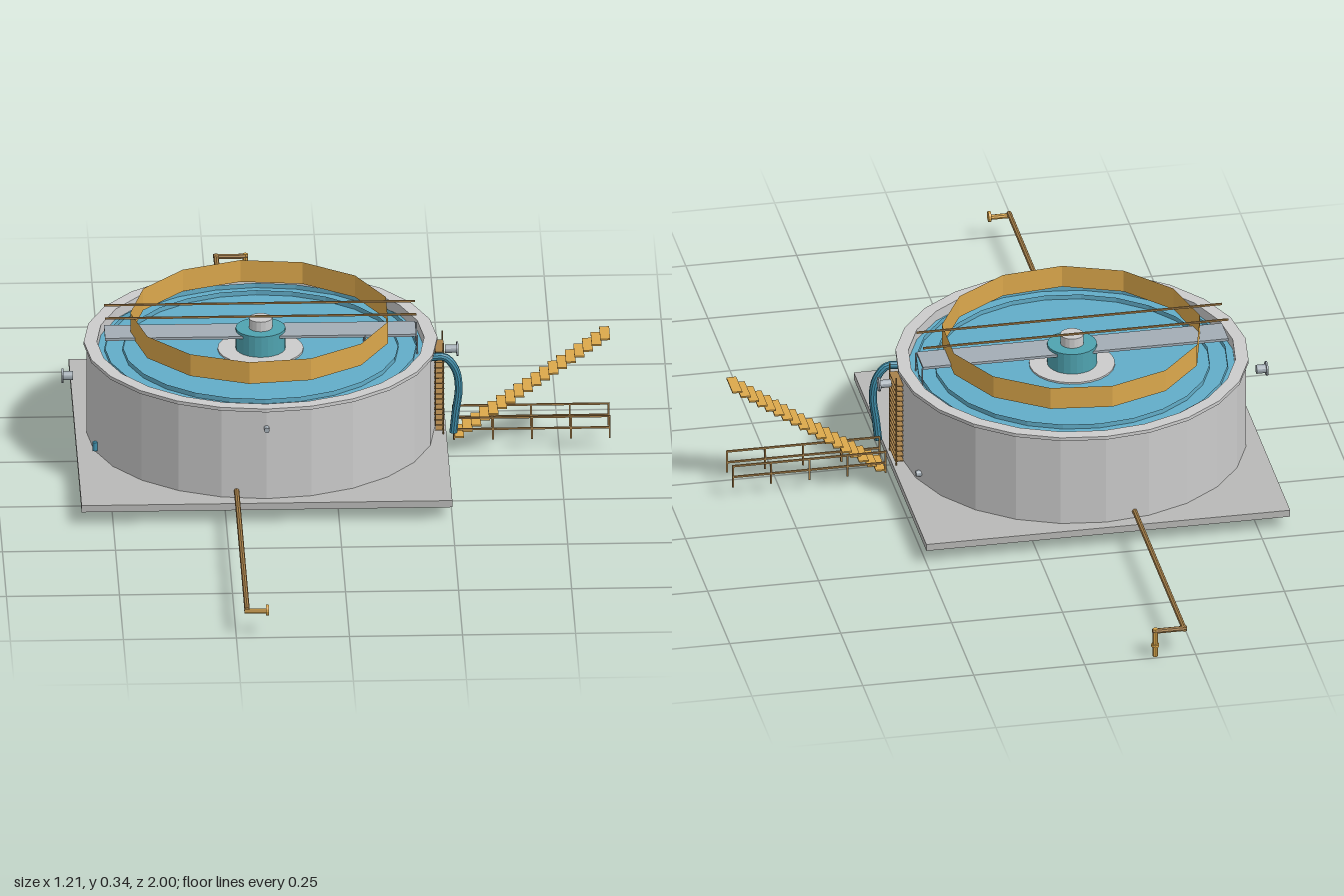
import * as THREE from 'three';

const CX = -0.16, CZ = -0.055; // tank axis

const mat = (color) => new THREE.MeshStandardMaterial({ color, flatShading: true, side: THREE.DoubleSide });
const GREY = mat(0xcccccc), CONCRETE = mat(0xb9b9b7), WATER = mat(0x62adc8), TEAL = mat(0x4fa3b0);
const GOLD = mat(0xdca84c), BROWN = mat(0xa8814a), DECK = mat(0xa3adb5), HOSE = mat(0x3f8fab);

export function createModel() {
  const root = new THREE.Group();

  const add = (name, geometry, material, x = 0, y = 0, z = 0) => {
    const m = new THREE.Mesh(geometry, material);
    m.name = name;
    m.position.set(x, y, z);
    root.add(m);
    return m;
  };
  const box = (name, material, x0, x1, y0, y1, z0, z1) =>
    add(name, new THREE.BoxGeometry(x1 - x0, y1 - y0, z1 - z0), material,
      (x0 + x1) / 2, (y0 + y1) / 2, (z0 + z1) / 2);
  const V = (p) => new THREE.Vector3(...p);
  // Straight round bar between two points
  const rod = (name, material, a, b, r, sides = 8) => {
    const p = V(a), q = V(b), d = q.clone().sub(p);
    const m = add(name, new THREE.CylinderGeometry(r, r, d.length(), sides), material);
    m.position.copy(p).add(q).multiplyScalar(0.5);
    m.quaternion.setFromUnitVectors(new THREE.Vector3(0, 1, 0), d.normalize());
    return m;
  };
  const drum = (name, material, r, y0, y1, sides = 24) =>
    add(name, new THREE.CylinderGeometry(r, r, y1 - y0, sides), material, CX, (y0 + y1) / 2, CZ);

  // Foundation slab
  box('foundationSlab', CONCRETE, -0.57, 0.25, 0.03, 0.046, -0.465, 0.355);

  // Tank wall with a thin overhanging rim
  const wall = [[0.362, 0.046], [0.385, 0.046], [0.385, 0.256], [0.391, 0.256], [0.391, 0.264],
    [0.362, 0.264], [0.362, 0.046]].map(([r, y]) => new THREE.Vector2(r, y));
  add('tankWall', new THREE.LatheGeometry(wall, 24), GREY, CX, 0, CZ);

  // Water surface, overflow weirs and feed well
  drum('water', WATER, 0.363, 0.228, 0.24);
  for (const r of [0.305, 0.345]) {
    add('overflowWeir', new THREE.CylinderGeometry(r, r, 0.012, 24, 1, true), WATER, CX, 0.245, CZ);
  }
  drum('feedWell', GREY, 0.095, 0.238, 0.244);
  drum('driveDrum', TEAL, 0.055, 0.24, 0.293);
  drum('driveMotor', GREY, 0.026, 0.29, 0.316, 16);

  // Raised guard band
  add('guardBand', new THREE.CylinderGeometry(0.288, 0.288, 0.052, 13, 1, true, -Math.PI / 2), GOLD,
    CX, 0.306, CZ);

  // Bridge across the tank with its hand rails and end supports
  box('bridgeDeck', DECK, -0.505, 0.183, 0.281, 0.287, -0.092, -0.018);
  for (const z of [-0.092, -0.018]) {
    box('bridgeRail', BROWN, -0.505, 0.183, 0.333, 0.337, z - 0.002, z + 0.002);
    for (const x of [0.07, 0.185]) rod('bridgeSupport', DECK, [x, 0.24, z], [x, 0.284, z], 0.002, 6);
  }

  // Long drain pipes, front and back, each with an elbow
  const px = -0.226, py = 0.062;
  rod('frontPipe', BROWN, [px, py, 0.31], [px, py, 0.988], 0.006);
  rod('frontPipeElbow', GOLD, [px - 0.006, py - 0.004, 0.985], [-0.18, py - 0.004, 0.985], 0.006);
  rod('frontPipeFlange', GOLD, [-0.184, py - 0.002, 0.985], [-0.178, py - 0.002, 0.985], 0.012, 12);
  rod('backPipe', BROWN, [px, py, -0.42], [px, py, -0.995], 0.006);
  rod('backPipeElbow', BROWN, [px - 0.006, py, -0.99], [-0.155, py, -0.99], 0.006);
  rod('backPipeDrop', GOLD, [-0.161, py + 0.006, -0.99], [-0.161, 0.004, -0.99], 0.006);
  rod('backPipeFlange', GOLD, [-0.161, 0.03, -0.99], [-0.161, 0.024, -0.99], 0.009, 12);
  rod('backPipeOutlet', GOLD, [-0.161, 0.01, -0.99], [-0.161, 0, -0.99], 0.006);

  // Curved outlet hose on the left side
  const hosePath = new THREE.CatmullRomCurve3([[0.215, 0.243, 0.01], [0.245, 0.243, 0.01],
    [0.268, 0.215, 0.01], [0.276, 0.17, 0.01], [0.269, 0.11, 0.01], [0.264, 0.062, 0.01]].map(V));
  add('outletHose', new THREE.TubeGeometry(hosePath, 20, 0.009, 10), HOSE);

  // Wall ladder
  for (const z of [-0.088, -0.018]) rod('ladderRail', BROWN, [0.243, 0.046, z], [0.243, 0.264, z], 0.0018, 6);
  for (let i = 0; i < 16; i++) {
    const y = 0.055 + i * 0.0125;
    box('ladderRung', BROWN, 0.226, 0.245, y - 0.001, y + 0.001, -0.088, -0.018);
  }

  // Rising flight of open treads
  const treads = 18;
  for (let i = 0; i < treads; i++) {
    const x = 0.278 + (i / (treads - 1)) * 0.323, y = 0.037 + (i / (treads - 1)) * 0.23;
    box('stairTread', GOLD, x - 0.011, x + 0.011, y - 0.0018, y + 0.0018, -0.09, -0.02);
  }

  // Level railings on both sides of the stair
  for (const z of [-0.09, -0.02]) {
    for (const y of [0.056, 0.083]) box('stairRail', BROWN, 0.265, 0.613, y - 0.002, y + 0.002, z - 0.002, z + 0.002);
    for (let i = 0; i < 5; i++) {
      const x = 0.267 + i * 0.086;
      box('railPost', BROWN, x - 0.002, x + 0.002, 0.031, 0.083, z - 0.002, z + 0.002);
    }
  }

  // Flanged nozzles at each end
  rod('rightNozzle', DECK, [-0.6, 0.183, CZ], [-0.575, 0.183, CZ], 0.01, 16);
  rod('rightNozzleFlange', DECK, [-0.6, 0.183, CZ], [-0.596, 0.183, CZ], 0.016, 16);
  rod('leftNozzle', DECK, [0.248, 0.235, CZ], [0.277, 0.235, CZ], 0.009, 16);
  rod('leftNozzleFlange', DECK, [0.273, 0.235, CZ], [0.277, 0.235, CZ], 0.016, 16);

  // Small wall ports
  rod('frontPort', DECK, [CX, 0.216, 0.32], [CX, 0.216, 0.345], 0.006, 12);
  rod('leftPort', DECK, [0.18, 0.065, -0.17], [0.215, 0.065, -0.17], 0.007, 12);
  rod('rightPort', HOSE, [-0.53, 0.052, 0.06], [-0.53, 0.072, 0.06], 0.006, 12);

  return root;
}
